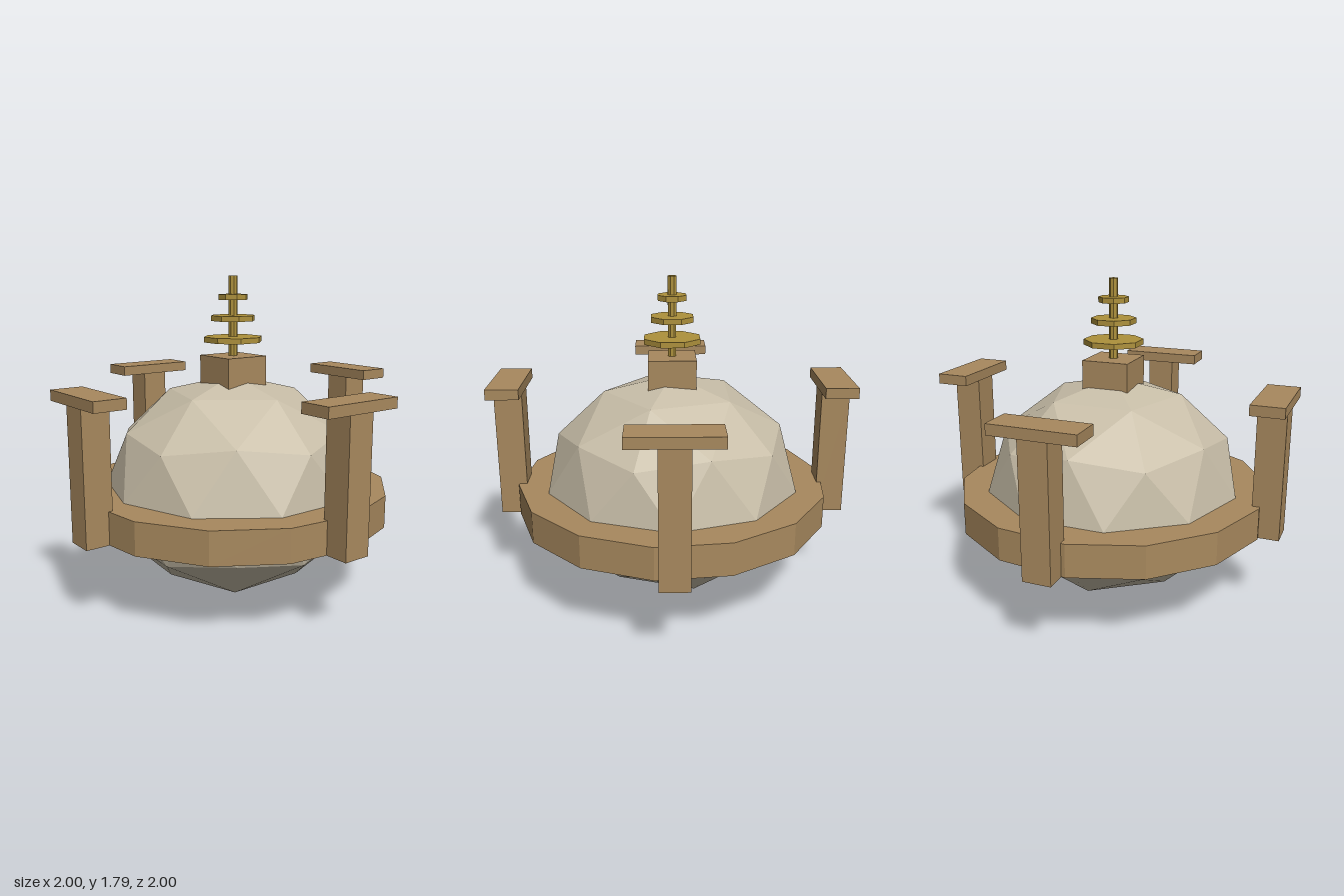
import * as THREE from 'three';

export function createModel() {
  const model = new THREE.Group();
  model.name = 'stupa';

  const material = (name, color) => {
    const m = new THREE.MeshStandardMaterial({ color, flatShading: true });
    m.name = name;
    return m;
  };
  const stone = material('pale stone', 0xc8bea8);
  const wood = material('brown sandstone', 0xa8895e);
  const gold = material('gold', 0xae913c);

  const add = (parent, name, geometry, mat, x = 0, y = 0, z = 0) => {
    const mesh = new THREE.Mesh(geometry, mat);
    mesh.name = name;
    mesh.position.set(x, y, z);
    parent.add(mesh);
    return mesh;
  };

  // Faceted dome, turned so a vertex sits at each pole, then flattened
  const domeGeometry = new THREE.IcosahedronGeometry(1, 1);
  domeGeometry.rotateZ(-Math.atan(2 / (1 + Math.sqrt(5))));
  domeGeometry.scale(0.725, 0.62, 0.725);
  domeGeometry.computeVertexNormals();
  add(model, 'dome', domeGeometry, stone, 0, 0.62, 0);

  // Fourteen-sided terrace around the dome
  const terrace = new THREE.CylinderGeometry(0.882, 0.882, 0.18, 14);
  terrace.rotateY(Math.PI / 4);
  add(model, 'terrace', terrace, wood, 0, 0.53, 0);

  // Four gateways: a post with a wide lintel on each side
  ['front', 'left', 'back', 'right'].forEach((side, i) => {
    const gate = new THREE.Group();
    gate.name = side + 'Gateway';
    add(gate, 'post', new THREE.BoxGeometry(0.155, 0.725, 0.155), wood, 0, 0.8025, 0.91);
    add(gate, 'lintel', new THREE.BoxGeometry(0.464, 0.057, 0.18), wood, 0, 1.193, 0.91);
    gate.rotation.y = i * Math.PI / 2;
    model.add(gate);
  });

  // Square block on top of the dome
  add(model, 'topBlock', new THREE.BoxGeometry(0.264, 0.2, 0.264), wood, 0, 1.25, 0);

  // Spire: octagonal mast with three shrinking discs, flat sides facing the axes
  const octagon = (apothem, height) => {
    const r = apothem / Math.cos(Math.PI / 8);
    return new THREE.CylinderGeometry(r, r, height, 8).rotateY(Math.PI / 8);
  };
  add(model, 'mast', octagon(0.023, 0.44), gold, 0, 1.568, 0);
  [[0.153, 1.441], [0.115, 1.558], [0.077, 1.673]].forEach(([apothem, y], i) => {
    add(model, 'spireDisc' + (i + 1), octagon(apothem, 0.03), gold, 0, y, 0);
  });

  return model;
}
